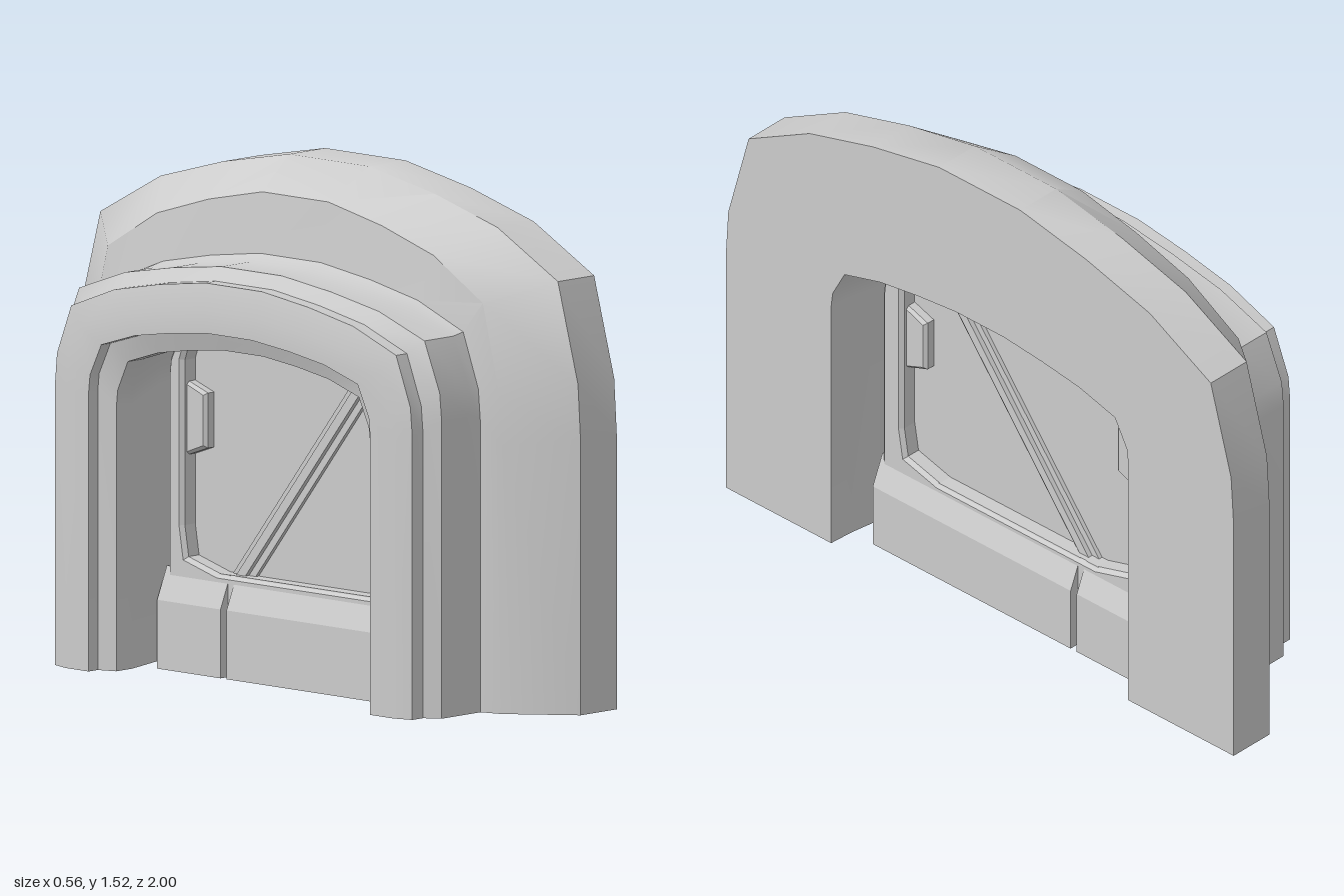
import * as THREE from 'three';
import { toCreasedNormals } from 'three/addons/utils/BufferGeometryUtils.js';

const mat = new THREE.MeshStandardMaterial({ color: 0xcccccc });
const MID = 0.08; // x of the door's middle plane

function add(group, name, geometry) {
  const mesh = new THREE.Mesh(geometry, mat);
  mesh.name = name;
  group.add(mesh);
  return mesh;
}

// Arch outline as [z, y] from the +z foot over the top to the -z foot
const SPREAD = [1, 1, 0.99, 0.91, 0.67, 0.42, 0.16];
const DROP = [null, 0.7, 0.54, 0.25, 0.12, 0.05, 0];
function arch(w, h, d, foot) {
  const half = SPREAD.map((s, i) => [s * w, i ? h - DROP[i] * d : foot]);
  return [...half, ...half.map(([z, y]) => [-z, y]).reverse()];
}

// Frame cross-section: [x, half width, height, shoulder drop], once round
const SECTION = [
  [0.28, 1, 1.52, 1], [0.13, 1, 1.52, 1],
  [-0.01, 0.82, 1.43, 0.9], [-0.03, 0.755, 1.255, 0.55],
  [-0.07, 0.755, 1.235, 0.5], [-0.19, 0.755, 1.235, 0.5],
  [-0.22, 0.71, 1.197, 0.5], [-0.265, 0.71, 1.197, 0.5], [-0.283, 0.65, 1.12, 0.42],
  [-0.283, 0.56, 1.055, 0.32], [-0.245, 0.56, 1.055, 0.32],
  [-0.225, 0.505, 1.0, 0.3], [-0.16, 0.505, 1.0, 0.3],
  [0.0, 0.55, 1.035, 0.3], [0.2, 0.58, 1.05, 0.3], [0.28, 0.585, 1.05, 0.3],
];

function archGeometry() {
  const rings = SECTION.map(([x, w, h, d]) => arch(w, h, d, 0.02).map(([z, y]) => [x, y, z]));
  const pos = [];
  rings.forEach((ring, s) => {
    const next = rings[(s + 1) % rings.length];
    for (let a = 0; a < ring.length - 1; a++) {
      pos.push(...ring[a], ...ring[a + 1], ...next[a + 1]);
      pos.push(...ring[a], ...next[a + 1], ...next[a]);
    }
  });
  const g = new THREE.BufferGeometry();
  g.setAttribute('position', new THREE.Float32BufferAttribute(pos, 3));
  return toCreasedNormals(g, 0.6);
}

const toShape = (pts) => new THREE.Shape(pts.map(([a, b]) => new THREE.Vector2(a, b)));

// Extrude a [z, y] outline across x, centred on the door plane
function slab(shape, depth, bevel = 0) {
  const g = new THREE.ExtrudeGeometry(shape, {
    depth: depth - 2 * bevel, bevelEnabled: bevel > 0, bevelSegments: 1,
    bevelSize: bevel, bevelThickness: bevel, bevelOffset: -bevel,
  });
  return g.rotateY(-Math.PI / 2).translate(MID + depth / 2 - bevel, 0, 0);
}

// Door base: thick plinth with sloping sills, extruded along z
function plinth(z0, z1) {
  const t = 0.1, u = 0.06;
  const shape = toShape([[-t, 0], [t, 0], [t, 0.2], [u, 0.295], [-u, 0.295], [-t, 0.2]]);
  return new THREE.ExtrudeGeometry(shape, { depth: z1 - z0, bevelEnabled: false })
    .translate(MID, 0, z0);
}

export function createModel() {
  const model = new THREE.Group();
  model.name = 'archedGateway';

  // Stepped arch with its two foot faces
  add(model, 'archFrame', archGeometry());
  for (const side of [1, -1]) {
    const foot = new THREE.ShapeGeometry(toShape(SECTION.map(([x, w]) => [x, side * w])));
    add(model, 'archFoot', foot.rotateX(Math.PI / 2).translate(0, 0.02, 0));
  }

  const door = new THREE.Group();
  door.name = 'door';
  model.add(door);

  // Surround with a cut-cornered window opening
  const surround = toShape(arch(0.52, 1.06, 0.3, 0.1).map(([z, y]) => [z - 0.01, y]));
  const corners = [[0.45, 0.42], [0.435, 0.33], [0.31, 0.295]];
  const flip = (p) => p.map(([z, y]) => [-z, y]).reverse();
  const topCorners = [[0.32, 0.99], [0.425, 0.97], [0.45, 0.9]];
  const opening = [...topCorners, ...corners, ...flip(corners), ...flip(topCorners)];
  surround.holes.push(new THREE.Path(opening.map(([z, y]) => new THREE.Vector2(z - 0.02, y))));
  add(door, 'windowSurround', slab(surround, 0.14, 0.012));

  // Plinth in two lengths with a seam between them
  add(door, 'longPlinth', plinth(-0.264, 0.515));
  add(door, 'shortPlinth', plinth(-0.54, -0.288));
  add(door, 'seamFiller', new THREE.BoxGeometry(0.1, 0.28, 0.04).translate(MID, 0.145, -0.276));

  // Window pane
  add(door, 'windowPane', new THREE.BoxGeometry(0.03, 0.74, 0.94).translate(MID, 0.64, -0.02));

  // Diagonal brace with a raised rib, clipped level at both ends
  const brace = (half, depth, name) => add(door, name, slab(toShape([
    [-0.265 - half, 0.292], [-0.265 + half, 0.292], [0.285 + half, 0.992], [0.285 - half, 0.992],
  ]), depth));
  brace(0.045, 0.055, 'diagonalBrace');
  brace(0.018, 0.085, 'braceRib');

  // Latch plates on the window sides
  for (const side of [1, -1]) {
    const plate = toShape([[0.46, 0.62], [0.375, 0.65], [0.375, 0.81], [0.46, 0.84]]
      .map(([z, y]) => [side * z - 0.02, y]));
    add(door, 'latchPlate', slab(plate, 0.1, 0.01));
  }
  return model;
}
